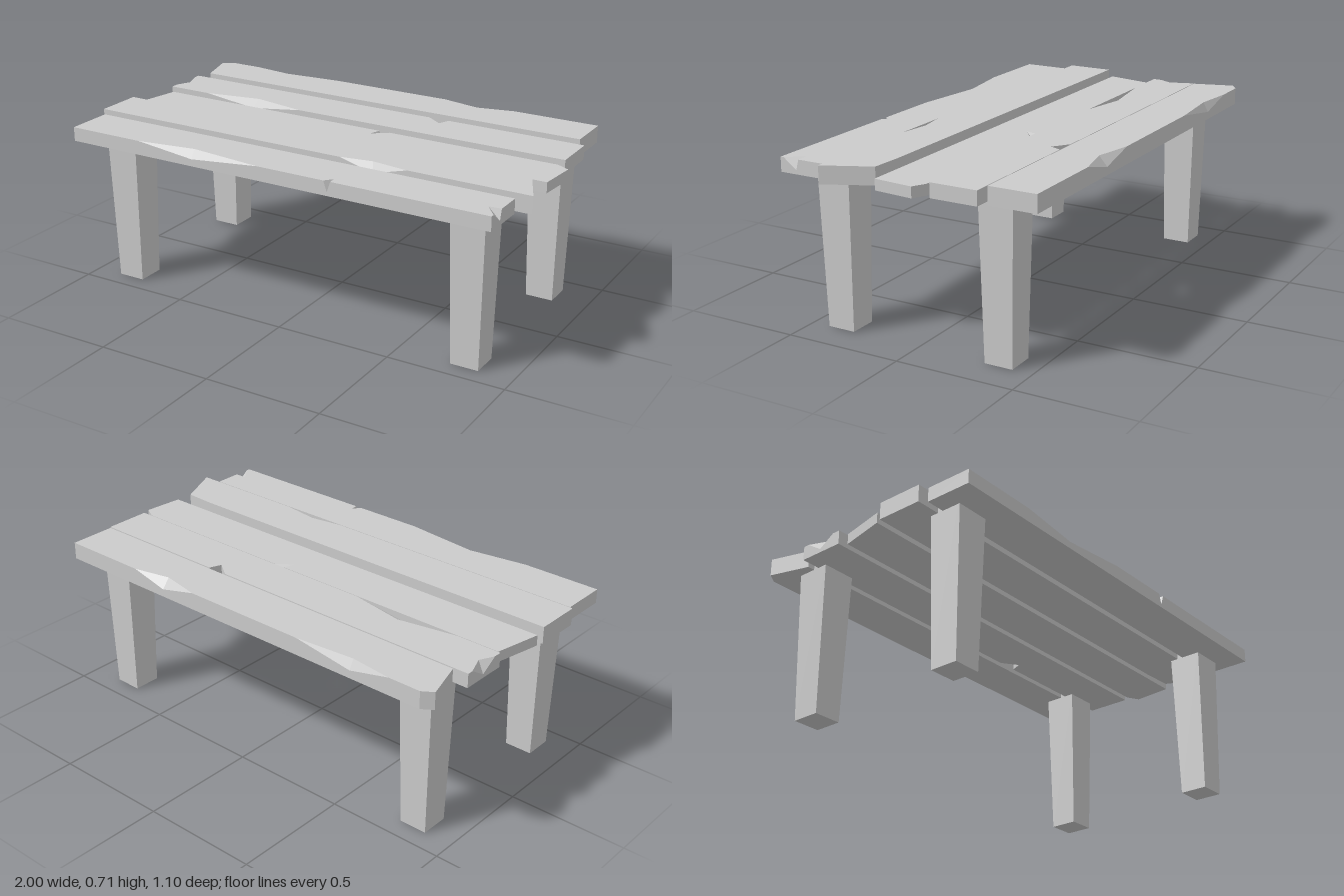
import * as THREE from 'three';

const material = new THREE.MeshStandardMaterial({ color: 0xcccccc, flatShading: true });
const BASE = 0.64; // underside of the planks

// Triangulate a flat polygon so that it faces along n
function addFace(out, pts, n) {
  const v = Math.abs(n.y) > 0.9 ? new THREE.Vector3(0, 0, -1) : new THREE.Vector3(0, 1, 0);
  const u = new THREE.Vector3().crossVectors(v, n);
  const flat = pts.map(p => new THREE.Vector2(p.dot(u), p.dot(v)));
  for (const [i, j, k] of THREE.ShapeUtils.triangulateShape(flat, [])) {
    const area = flat[j].clone().sub(flat[i]).cross(flat[k].clone().sub(flat[i]));
    out.push(pts[i], ...(area > 0 ? [pts[j], pts[k]] : [pts[k], pts[j]]));
  }
}

// A plank from its outline (counter-clockwise from above, [x, z] corners).
// A chip is cut from the top edge that follows corner `edge`: it runs from a to b,
// reaches in to c on the top face and down to d = [x, z, drop] on the side face.
function makePlank({ name, top, outline, chips = [] }) {
  const tris = [];
  const at = ([x, z], y) => new THREE.Vector3(x, y, z);
  const topLoop = [];
  outline.forEach((p, i) => {
    const q = outline[(i + 1) % outline.length];
    const side = [at(p, BASE), at(q, BASE), at(q, top)];
    const rim = [];
    topLoop.push(at(p, top));
    for (const chip of chips.filter(c => c.edge === i)) {
      const a = at(chip.a, top), b = at(chip.b, top), c = at(chip.c, top);
      const d = at(chip.d, top - chip.d[2]);
      topLoop.push(a, c, b);
      rim.push(a, d, b);
      tris.push(a, d, c, d, b, c);
    }
    side.push(...rim.reverse(), at(p, top));
    const normal = new THREE.Vector3(p[1] - q[1], 0, q[0] - p[0]).normalize();
    normal.x *= -1;
    // outward direction is the edge direction turned clockwise seen from above
    normal.set(-(q[1] - p[1]), 0, q[0] - p[0]).normalize();
    addFace(tris, side, normal);
  });
  addFace(tris, topLoop, new THREE.Vector3(0, 1, 0));
  addFace(tris, outline.map(p => at(p, BASE)), new THREE.Vector3(0, -1, 0));
  const geometry = new THREE.BufferGeometry().setFromPoints(tris);
  geometry.computeVertexNormals();
  const mesh = new THREE.Mesh(geometry, material);
  mesh.name = name;
  return mesh;
}

const planks = [
  {
    name: 'frontPlank', top: 0.70,
    outline: [[-0.975, 0.55], [0.94, 0.55], [0.94, 0.35], [-0.975, 0.35]],
    chips: [
      { edge: 0, a: [-0.635, 0.55], b: [-0.055, 0.55], c: [-0.38, 0.512], d: [-0.37, 0.55, 0.03] },
      { edge: 0, a: [0.245, 0.55], b: [0.275, 0.55], c: [0.272, 0.518], d: [0.26, 0.55, 0.045] },
      { edge: 1, a: [0.94, 0.535], b: [0.94, 0.465], c: [0.888, 0.468], d: [0.94, 0.477, 0.043] },
    ],
  },
  {
    name: 'frontMiddlePlank', top: 0.713,
    outline: [[-1, 0.325], [1, 0.325], [0.91, 0.132], [0.78, 0.125], [-1, 0.125]],
    chips: [{ edge: 0, a: [0.18, 0.325], b: [0.48, 0.325], c: [0.32, 0.303], d: [0.33, 0.325, 0.04] }],
  },
  {
    name: 'middlePlank', top: 0.685,
    outline: [[-0.99, 0.10], [0.96, 0.10], [0.975, -0.07], [0.92, -0.10], [-0.95, -0.10]],
    chips: [{ edge: 3, a: [0.17, -0.10], b: [0.12, -0.10], c: [0.105, -0.05], d: [0.135, -0.10, 0.03] }],
  },
  {
    name: 'backMiddlePlank', top: 0.70,
    outline: [[-0.975, -0.125], [0.94, -0.125], [0.94, -0.325], [0.33, -0.325], [0.31, -0.275], [0.24, -0.325], [-0.975, -0.325]],
    chips: [
      { edge: 0, a: [-0.78, -0.125], b: [-0.29, -0.125], c: [-0.53, -0.17], d: [-0.53, -0.125, 0.03] },
      { edge: 6, a: [-0.975, -0.30], b: [-0.975, -0.16], c: [-0.945, -0.22], d: [-0.975, -0.23, 0.045] },
    ],
  },
  {
    name: 'backPlank', top: 0.713,
    outline: [[-0.925, -0.35], [0.91, -0.35], [0.91, -0.55], [-0.93, -0.55], [-0.975, -0.52]],
    chips: [
      { edge: 2, a: [0.53, -0.55], b: [0.20, -0.55], c: [0.37, -0.515], d: [0.37, -0.55, 0.04] },
      { edge: 2, a: [-0.35, -0.55], b: [-0.79, -0.55], c: [-0.61, -0.528], d: [-0.61, -0.55, 0.04] },
    ],
  },
];

// Square leg, tapering towards the floor
function makeLeg() {
  const height = 0.677;
  const geometry = new THREE.BoxGeometry(0.147, height, 0.147);
  geometry.translate(0, height / 2, 0);
  const pos = geometry.attributes.position;
  for (let i = 0; i < pos.count; i++) {
    if (pos.getY(i) < 0.01) pos.setXYZ(i, pos.getX(i) * 0.81, 0, pos.getZ(i) * 0.81);
  }
  geometry.computeVertexNormals();
  return new THREE.Mesh(geometry, material);
}

export function createModel() {
  const table = new THREE.Group();
  table.name = 'plankTable';
  for (const plank of planks) table.add(makePlank(plank));
  for (const [side, x] of [['Right', -0.821], ['Left', 0.794]]) {
    for (const [end, z] of [['front', 0.362], ['back', -0.355]]) {
      const leg = makeLeg();
      leg.name = `${end}${side}Leg`;
      leg.position.set(x, 0, z);
      table.add(leg);
    }
  }
  return table;
}
